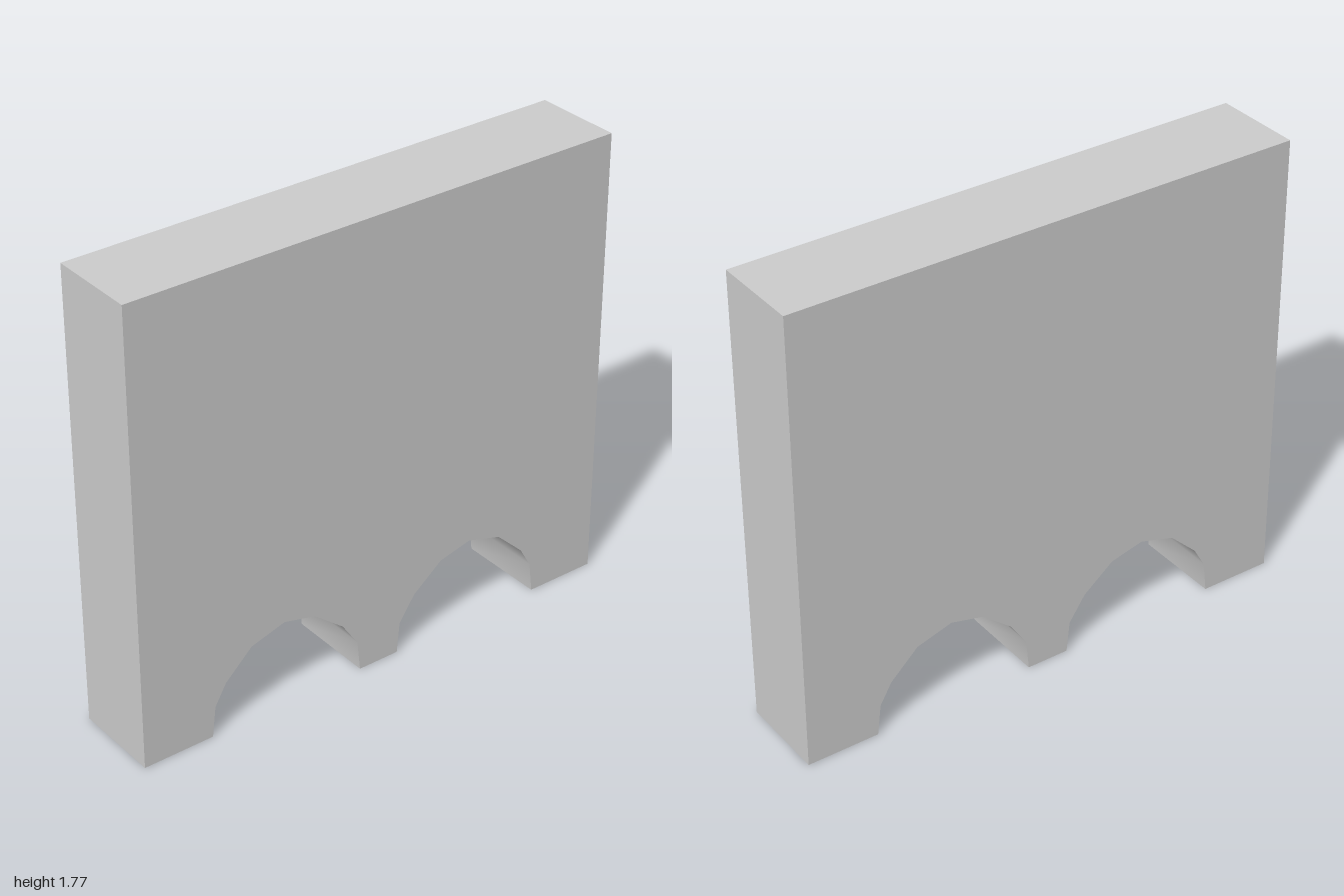
import * as THREE from 'three';
import { toCreasedNormals } from 'three/addons/utils/BufferGeometryUtils.js';

const HEIGHT = 1.775;
const DEPTH = 0.345;

// Faceted arch outline on the +x side, from the middle pier outwards
const ARCH = [
  [0.083, 0], [0.095, 0.12], [0.16, 0.217], [0.28, 0.313], [0.41, 0.345],
  [0.55, 0.304], [0.66, 0.2], [0.706, 0.12], [0.72, 0],
];

export function createModel() {
  const group = new THREE.Group();
  group.name = 'archedWall';

  // Wall outline: bottom edge runs through both mirrored arches
  const mirrored = ARCH.map(([x, y]) => [-x, y]).reverse();
  const outline = [[-1, 0], ...mirrored, ...ARCH, [1, 0], [1, HEIGHT], [-1, HEIGHT]];
  const shape = new THREE.Shape(outline.map(([x, y]) => new THREE.Vector2(x, y)));

  // Solid slab, with smooth arch undersides and sharp outer edges
  const slab = new THREE.ExtrudeGeometry(shape, { depth: DEPTH, bevelEnabled: false });
  slab.translate(0, 0, -DEPTH / 2);
  const wall = new THREE.Mesh(
    toCreasedNormals(slab, 0.9),
    new THREE.MeshStandardMaterial({ color: 0xcccccc }),
  );
  wall.name = 'wall';
  group.add(wall);

  return group;
}
